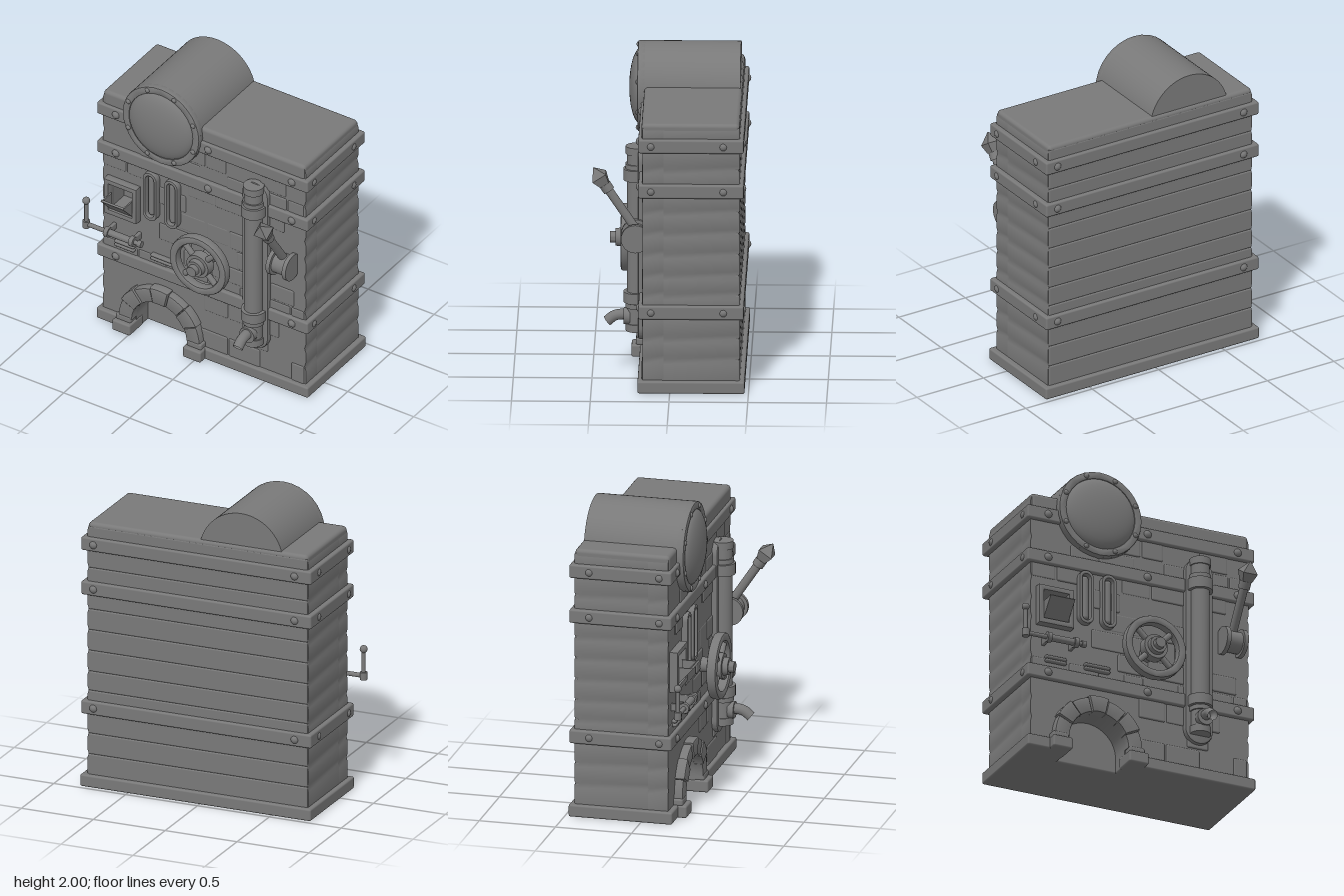
import * as THREE from 'three';
import { RoundedBoxGeometry } from 'three/addons/geometries/RoundedBoxGeometry.js';
import { toCreasedNormals } from 'three/addons/utils/BufferGeometryUtils.js';

const mat = new THREE.MeshStandardMaterial({ color: 0x797979, side: THREE.DoubleSide });
const V = (x, y, z) => new THREE.Vector3(x, y, z);
let seed = 7;
const rand = () => (seed = (seed * 16807) % 2147483647) / 2147483647;

export function createModel() {
  const root = new THREE.Group();
  const add = (name, geo, x = 0, y = 0, z = 0) => {
    const m = new THREE.Mesh(geo, mat);
    m.name = name;
    m.position.set(x, y, z);
    root.add(m);
    return m;
  };
  // Box given by its extents
  const box = (name, x0, x1, y0, y1, z0, z1, r = 0.012) => add(name,
    new RoundedBoxGeometry(x1 - x0, y1 - y0, z1 - z0, 2, r), (x0 + x1) / 2, (y0 + y1) / 2, (z0 + z1) / 2);
  // Cylinder between two points
  const rod = (name, a, b, r0, r1 = r0, n = 20) => {
    const d = b.clone().sub(a);
    const m = add(name, toCreasedNormals(new THREE.CylinderGeometry(r1, r0, d.length(), n), 0.6));
    m.position.copy(a).addScaledVector(d, 0.5);
    m.quaternion.setFromUnitVectors(V(0, 1, 0), d.normalize());
    return m;
  };
  const extrude = (name, shape, z0, z1, bevel = 0) => add(name, toCreasedNormals(new THREE.ExtrudeGeometry(shape, {
    depth: z1 - z0 - 2 * bevel, bevelEnabled: bevel > 0, bevelSize: bevel, bevelThickness: bevel,
    bevelOffset: -bevel, bevelSegments: 2, curveSegments: 16 }), 0.6), 0, 0, z0 + bevel);
  const rivet = (x, y, z, r = 0.03) => add('rivet', new THREE.SphereGeometry(r, 12, 8), x, y, z);
  // Upright slot shape with round ends
  const slot = (T, x, y0, y1, r) => {
    const s = new T();
    s.moveTo(x + r, y0 + r);
    s.lineTo(x + r, y1 - r);
    s.absarc(x, y1 - r, r, 0, Math.PI, false);
    s.lineTo(x - r, y0 + r);
    s.absarc(x, y0 + r, r, Math.PI, 2 * Math.PI, false);
    return s;
  };
  const rect = (T, x0, x1, y0, y1) => new T([[x0, y0], [x1, y0], [x1, y1], [x0, y1]].map(p => new THREE.Vector2(...p)));

  // Body outline with softly worn stone courses on both sides
  const ys = [0.02, 0.22, 0.36, 0.52, 0.65, 0.78, 0.92, 1.06, 1.2, 1.34, 1.48, 1.64, 1.76];
  const ax = -0.285, ay = 0.11, ar = 0.205;
  const bodyShape = open => {
    const s = new THREE.Shape();
    s.moveTo(-0.735, 0.02);
    if (open) {
      s.lineTo(ax - ar, 0.02);
      s.lineTo(ax - ar, ay);
      s.absarc(ax, ay, ar, Math.PI, 0, true);
      s.lineTo(ax + ar, 0.02);
    }
    for (let i = 0; i < ys.length - 1; i++) {
      s.lineTo(0.785, ys[i]);
      s.lineTo(0.794, ys[i] + 0.03);
      s.lineTo(0.794, ys[i + 1] - 0.03);
    }
    s.lineTo(0.785, 1.76);
    s.lineTo(-0.735, 1.76);
    for (let i = ys.length - 2; i >= 0; i--) {
      s.lineTo(-0.743, ys[i + 1] - 0.03);
      s.lineTo(-0.743, ys[i] + 0.03);
      if (i) s.lineTo(-0.735, ys[i]);
    }
    if (open) s.holes.push(rect(THREE.Path, -0.67, -0.495, 0.905, 1.1));
    return s;
  };
  extrude('bodyBack', bodyShape(false), -0.437, 0.04);
  extrude('bodyFront', bodyShape(true), 0.04, 0.172);
  box('topCourse', -0.74, 0.79, 1.66, 1.785, -0.443, 0.18, 0.025);

  // Slightly raised courses at the back, and worn bricks at the front
  for (let i = 0; i < ys.length - 1; i++) {
    const y0 = ys[i], y1 = ys[i + 1];
    box('backCourse', -0.738, 0.788, y0, y1, -0.445, -0.41, 0.01);
    let x = -0.74;
    while (x < 0.7) {
      const x1 = Math.min(x + 0.14 + 0.14 * rand(), 0.785);
      const arch = y0 < 0.4 && x1 > -0.56 && x < -0.02;
      const hatch = y1 > 0.87 && y0 < 1.13 && x < -0.46;
      if (!arch && !hatch && rand() < 0.6) box('frontBrick', x + 0.004, x1 - 0.004, y0 + 0.004, y1 - 0.004, 0.15, 0.174 + 0.006 * rand());
      x = x1;
    }
  }

  // Base, cut away in front of the hearth
  box('base', -0.775, 0.83, 0.005, 0.085, -0.475, 0.04);
  box('base', -0.775, -0.49, 0.005, 0.085, -0.1, 0.205);
  box('base', -0.08, 0.83, 0.005, 0.085, -0.1, 0.205);

  // Metal bands with rivets
  for (const y of [0.54, 1.345, 1.645]) {
    box('band', -0.775, 0.825, y - 0.045, y + 0.045, -0.47, -0.42);
    box('band', -0.775, 0.825, y - 0.045, y + 0.045, 0.14, 0.2);
    for (const x of [-0.75, 0.8]) box('band', x - 0.025, x + 0.025, y - 0.045, y + 0.045, -0.465, 0.195);
    for (const x of [-0.63, 0.07, 0.705]) rivet(x, y, 0.188);
    for (const x of [-0.66, 0.74]) rivet(x, y, -0.455);
    for (const z of [0.12, -0.34]) for (const x of [-0.757, 0.807]) rivet(x, y, z);
  }

  // Hearth arch of wedge stones on two feet
  const n = 7;
  for (let i = 0; i < n; i++) {
    const a0 = Math.PI * i / n + 0.005, a1 = Math.PI * (i + 1) / n - 0.005, R = 0.308 + 0.01 * (i % 2);
    const s = new THREE.Shape();
    s.absarc(ax, ay, R, a0, a1, false);
    s.absarc(ax, ay, ar, a1, a0, true);
    extrude('archStone', s, 0.1, 0.228 + 0.008 * (i % 2), 0.012);
  }
  for (const s of [-1, 1]) {
    const x = ax + s * 0.268;
    box('archFoot', x - 0.068, x + 0.068, 0.005, 0.085, 0.1, 0.26);
    box('archJamb', x - 0.058, x + 0.055, 0.08, 0.125, 0.1, 0.232);
  }

  // Drum with domed front and riveted rim
  const dx = -0.273, dy = 1.709;
  rod('drum', V(dx, dy, -0.43), V(dx, dy, 0.2), 0.29, 0.29, 64);
  const rim = new THREE.Shape().absarc(dx, dy, 0.291, 0, 2 * Math.PI, false);
  rim.holes.push(new THREE.Path().absarc(dx, dy, 0.24, 0, 2 * Math.PI, true));
  extrude('drumRim', rim, 0.17, 0.225, 0.01);
  const dome = add('drumDome', new THREE.SphereGeometry(0.245, 40, 12, 0, 2 * Math.PI, 0, Math.PI / 2), dx, dy, 0.205);
  dome.rotation.x = Math.PI / 2;
  dome.scale.y = 0.31;
  for (let i = 0; i < 8; i++) {
    const a = (i + 0.5) * Math.PI / 4;
    rivet(dx + 0.265 * Math.cos(a), dy + 0.265 * Math.sin(a), 0.22, 0.018);
  }

  // Hatch: frame and tilted chute with cheeks
  const frame = rect(THREE.Shape, -0.705, -0.46, 0.868, 1.135);
  frame.holes.push(rect(THREE.Path, -0.67, -0.495, 0.905, 1.1));
  extrude('hatchFrame', frame, 0.15, 0.225, 0.008);
  const flap = add('hatchFlap', new THREE.BoxGeometry(0.172, 0.165, 0.014), -0.583, 0.967, 0.255);
  flap.rotation.x = 0.74;
  for (const x of [-0.663, -0.503]) {
    const cheek = new THREE.Shape([[-0.2, 0.907], [-0.2, 1.025], [-0.305, 1.025]].map(p => new THREE.Vector2(...p)));
    const m = add('hatchCheek', new THREE.ExtrudeGeometry(cheek, { depth: 0.01, bevelEnabled: false }), x - 0.005);
    m.rotation.y = Math.PI / 2;
  }

  // Two upright gauges and two vents
  for (const x of [-0.365, -0.205]) {
    const s = slot(THREE.Shape, x, 0.93, 1.3, 0.052);
    s.holes.push(slot(THREE.Path, x, 0.955, 1.275, 0.03));
    extrude('gaugeFrame', s, 0.15, 0.215, 0.008);
    add('gaugeTube', new THREE.CapsuleGeometry(0.024, 0.26, 6, 14), x, 1.115, 0.18);
  }
  for (const [x, w] of [[-0.57, 0.15], [-0.28, 0.18]])
    for (const y of [0.627, 0.652]) box('vent', x - w / 2, x + w / 2, y - 0.011, y + 0.011, 0.15, 0.2, 0.01);

  // Crank
  const cy = 0.755, cz = 0.255;
  rod('crankRod', V(-0.815, cy, cz), V(-0.4, cy, cz), 0.015);
  rod('crankSleeve', V(-0.66, cy, cz), V(-0.45, cy, cz), 0.023);
  for (const x of [-0.655, -0.465]) {
    rod('crankCollar', V(x - 0.015, cy, cz), V(x + 0.015, cy, cz), 0.034);
    box('crankBracket', x - 0.012, x + 0.012, cy - 0.025, cy + 0.025, 0.15, cz, 0.006);
  }
  rod('crankEnd', V(-0.425, cy, cz), V(-0.395, cy, cz), 0.022);
  rod('crankElbow', V(-0.817, cy - 0.025, cz), V(-0.817, cy + 0.025, cz), 0.024);
  rod('crankHandle', V(-0.817, cy, cz), V(-0.817, 0.93, cz), 0.013);
  add('crankKnob', new THREE.SphereGeometry(0.025, 14, 10), -0.817, 0.935, cz);

  // Handwheel
  const wx = 0.07, wy = 0.81;
  const ring = new THREE.Shape().absarc(wx, wy, 0.215, 0, 2 * Math.PI, false);
  ring.holes.push(new THREE.Path().absarc(wx, wy, 0.16, 0, 2 * Math.PI, true));
  extrude('wheelRim', ring, 0.26, 0.325, 0.015);
  for (let i = 0; i < 4; i++) {
    const a = i * Math.PI / 2 + Math.PI / 4, c = Math.cos(a), s = Math.sin(a);
    rod('wheelSpoke', V(wx + 0.05 * c, wy + 0.05 * s, 0.29), V(wx + 0.18 * c, wy + 0.18 * s, 0.29), 0.02);
  }
  for (const [r, z0, z1] of [[0.05, 0.15, 0.28], [0.088, 0.265, 0.325], [0.06, 0.32, 0.36], [0.038, 0.35, 0.395]])
    rod('wheelHub', V(wx, wy, z0), V(wx, wy, z1), r, r * 0.93, 28);

  // Pipe on a backing plate, with clamps and spout
  const px = 0.43, pz = 0.22;
  extrude('pipePlate', slot(THREE.Shape, px, 0.25, 1.54, 0.097), 0.15, 0.208, 0.01);
  rod('pipe', V(px, 0.31, pz), V(px, 1.5, pz), 0.06, 0.06, 28);
  for (const [y, h, r] of [[1.505, 0.05, 0.068], [1.345, 0.075, 0.082], [0.53, 0.07, 0.082], [0.33, 0.05, 0.068], [1.4, 0.03, 0.07], [0.475, 0.03, 0.07]])
    rod('pipeClamp', V(px, y - h / 2, pz), V(px, y + h / 2, pz), r, r, 28);
  const spout = new THREE.CatmullRomCurve3([V(px, 0.4, 0.22), V(px, 0.41, 0.31), V(px, 0.4, 0.36), V(px, 0.365, 0.405)]);
  add('spout', new THREE.TubeGeometry(spout, 16, 0.034, 14));
  rod('spoutCollar', V(px, 0.4, 0.26), V(px, 0.4, 0.3), 0.055);

  // Lever on a spool mount, with a square pointed grip
  const lx = 0.655, ly = 1.0, lz = 0.22;
  rod('leverSpool', V(lx - 0.07, ly, lz), V(lx + 0.07, ly, lz), 0.07, 0.07, 28);
  for (const s of [-1, 1]) rod('leverDisc', V(lx + s * 0.047, ly, lz), V(lx + s * 0.075, ly, lz), 0.092, 0.092, 28);
  const dir = V(0, 0.83, 0.555).normalize(), start = V(lx, ly + 0.02, lz - 0.02);
  const at = t => start.clone().addScaledVector(dir, t);
  rod('leverArm', at(0), at(0.4), 0.028);
  rod('leverCollar', at(0.34), at(0.39), 0.038);
  rod('leverGrip', at(0.39), at(0.45), 0.045, 0.07, 4).rotateY(Math.PI / 4);
  rod('leverTip', at(0.45), at(0.52), 0.07, 0.004, 4).rotateY(Math.PI / 4);

  return root;
}
